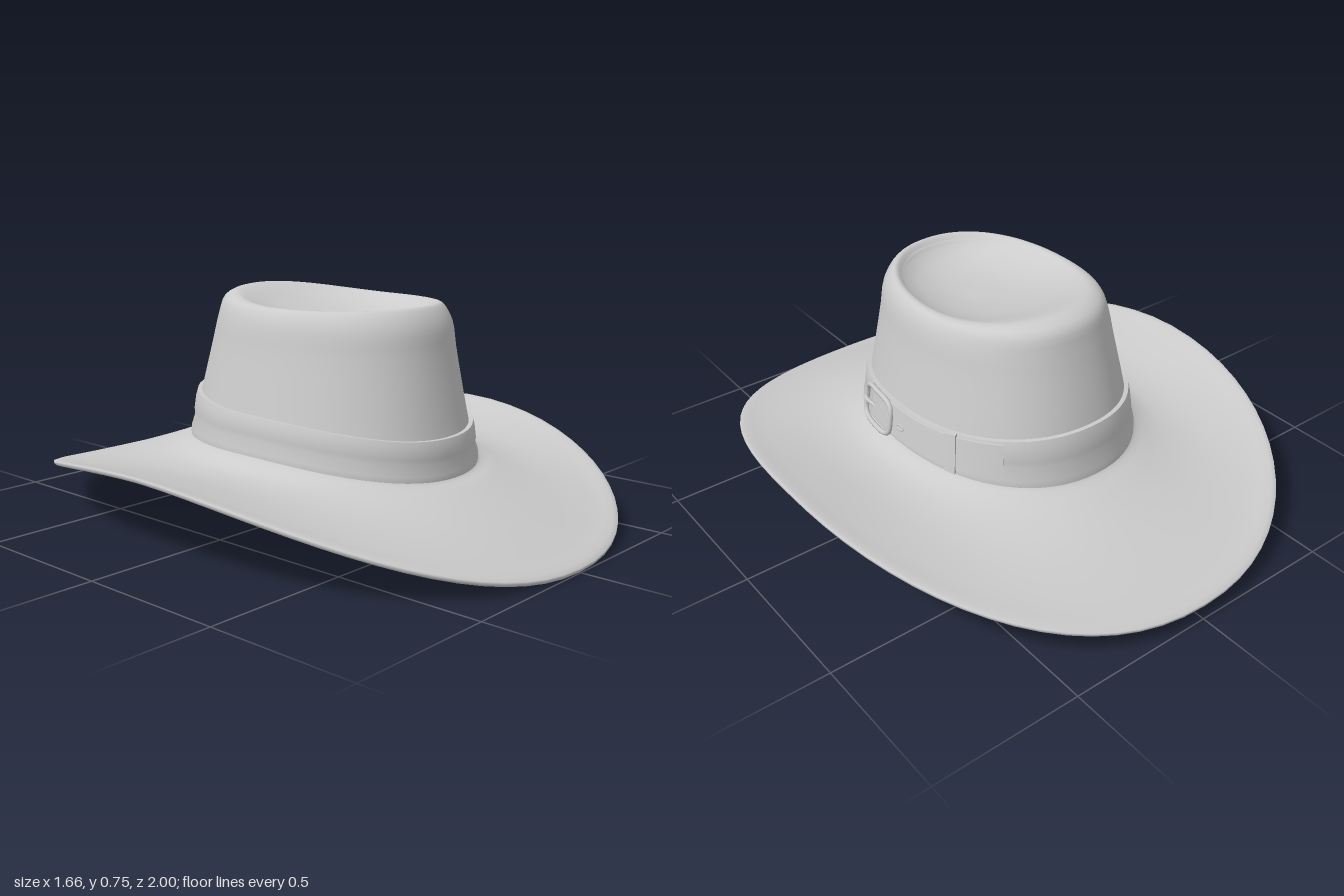
import * as THREE from 'three';
import { toCreasedNormals } from 'three/addons/utils/BufferGeometryUtils.js';

const TAU = Math.PI * 2;
const lerpRow = (a, b, s) => a.map((v, i) => v + (b[i] - v) * s);
const spow = (v, p) => Math.sign(v) * Math.pow(Math.abs(v), p);

// An oval section: [half width, front z, back z, front y, side y, back y].
// Angle t runs from the front (+z) towards +x.
function ovalPoint([hx, zf, zb, yf, ys, yb], t) {
  const s = Math.sin(t), c = Math.cos(t), p = 2 / 2.15;
  const w = Math.pow(Math.abs(c), 1.7);
  return new THREE.Vector3(
    hx * spow(s, p),
    ys + ((c > 0 ? yf : yb) - ys) * w,
    (zf + zb) / 2 + (zf - zb) / 2 * spow(c, p)
  );
}

// Surface from columns of points; each column runs from top to bottom outside
function skin(columns, closed) {
  const n = columns.length, m = columns[0].length, index = [];
  for (let i = 0; i < (closed ? n : n - 1); i++) {
    for (let j = 0; j < m - 1; j++) {
      const a = i * m + j, b = ((i + 1) % n) * m + j;
      index.push(a, a + 1, b, b, a + 1, b + 1);
    }
  }
  const geo = new THREE.BufferGeometry().setFromPoints(columns.flat());
  geo.setIndex(index);
  geo.computeVertexNormals();
  return geo;
}

// Crown sections from the bottom of the shallow dent, over the rim and down to the brim
const CROWN = [
  [0, 0.14, 0.14, 0.655, 0.655, 0.655],
  [0.1, 0.25, 0, 0.657, 0.66, 0.667],
  [0.195, 0.33, -0.16, 0.674, 0.682, 0.702],
  [0.25, 0.375, -0.265, 0.702, 0.705, 0.74],
  [0.274, 0.4, -0.32, 0.727, 0.718, 0.751],
  [0.297, 0.417, -0.37, 0.722, 0.712, 0.727],
  [0.32, 0.45, -0.39, 0.668, 0.668, 0.665],
  [0.335, 0.464, -0.41, 0.58, 0.58, 0.59],
  [0.37, 0.505, -0.455, 0.36, 0.4, 0.42],
  [0.387, 0.525, -0.475, 0.27, 0.32, 0.32],
  [0.405, 0.538, -0.49, 0.205, 0.262, 0.25]
];
const BASE = CROWN[CROWN.length - 1];
const EDGE = [0.83, 1, -1, 0.014, 0.268, 0.062];

// Brim section at s from 0 (crown) to 1 (edge), dipping beside the crown
function brimRow(s) {
  const row = lerpRow(BASE, EDGE, s);
  const bump = Math.sin(Math.PI * Math.pow(s, 0.6));
  row[3] += 0.008 * bump;
  row[4] -= 0.048 * bump;
  row[5] -= 0.008 * bump;
  return row;
}

// Felt shell: crown and brim outside, then back along the underside and lining
function hatBody() {
  const brim = [0.12, 0.27, 0.45, 0.65, 0.85, 1].map(brimRow);
  const outer = [...CROWN, ...brim];
  const inner = outer.map(([hx, zf, zb, yf, ys, yb], i) => {
    const k = i - CROWN.length;
    // lining sits inside the crown and flares softly into the underside
    const d = k < -1 ? Math.min(0.014, hx * 0.3) : i === outer.length - 1 ? 0.004 : 0;
    const drop = k === -1 ? 0.03 : k === 0 ? 0.022 : 0.014;
    return [hx - d, zf - d, zb + d, yf - drop, ys - drop, yb - drop];
  }).reverse();
  const rows = [...outer, ...inner];
  const columns = [];
  for (let i = 0; i < 72; i++) {
    const t = i / 72 * TAU;
    const curve = new THREE.CatmullRomCurve3(rows.map(r => ovalPoint(r, t)));
    // even steps between rows, so every column meets the sections at the same place
    columns.push(Array.from({ length: (rows.length - 1) * 3 + 1 },
      (_, j) => curve.getPoint(j / ((rows.length - 1) * 3))));
  }
  return skin(columns, true);
}

// Point on the hat band: v from 0 (bottom) to 1 (top), pushed outwards by off
const BAND_LOW = [0.406, 0.545, -0.5, 0.203, 0.26, 0.248];
const BAND_TOP = [0.386, 0.526, -0.472, 0.328, 0.385, 0.416];
function bandPoint(t, v, off) {
  const r = lerpRow(BAND_LOW, BAND_TOP, v);
  r[0] += off; r[1] += off; r[2] -= off;
  return ovalPoint(r, t);
}

// Hat band with a shallow groove along its lower half
function band() {
  const section = [[1, -0.014], [1, 0], [0.85, 0.003], [0.55, 0.002], [0.42, -0.003], [0.15, 0.003], [0, 0], [0, -0.012]];
  const columns = [];
  for (let i = 0; i < 72; i++) columns.push(section.map(([v, o]) => bandPoint(i / 72 * TAU, v, o)));
  return toCreasedNormals(skin(columns, true), 0.8);
}

// Raised leather strip lying on the band between two angles
function strip(t0, t1, v0, v1, off) {
  const n = 20, columns = [];
  for (let i = -1; i <= n + 1; i++) {
    const t = t0 + (t1 - t0) * Math.min(Math.max(i / n, 0), 1);
    const o = i < 0 || i > n ? -0.005 : off;
    columns.push([[v1, -0.005], [v1, o], [v0, o], [v0, -0.005]].map(([v, d]) => bandPoint(t, v, d)));
  }
  return toCreasedNormals(skin(columns, false), 0.8);
}

// Rounded ring lying on the band
function ring(t, v, rt, rv, off, radius, power) {
  const pts = [];
  for (let i = 0; i < 24; i++) {
    const a = i / 24 * TAU;
    pts.push(bandPoint(t + rt * spow(Math.cos(a), power), v + rv * spow(Math.sin(a), power), off));
  }
  return new THREE.TubeGeometry(new THREE.CatmullRomCurve3(pts, true), 48, radius, 8, true);
}

export function createModel() {
  const group = new THREE.Group();
  group.name = 'hat';
  const material = new THREE.MeshStandardMaterial({ color: 0xcccccc, side: THREE.DoubleSide });
  const add = (name, geometry) => {
    const mesh = new THREE.Mesh(geometry, material);
    mesh.name = name;
    group.add(mesh);
  };

  add('crownAndBrim', hatBody());
  add('hatBand', band());

  // Strap end and keeper on the left side
  add('strapEnd', strip(1.25, 2.42, 0.14, 0.95, 0.007));
  add('strapKeeper', strip(1.99, 2.07, 0.06, 1.02, 0.013));

  // Buckle with its short prong
  add('buckleFrame', ring(1.34, 0.48, 0.18, 0.5, 0.012, 0.009, 0.5));
  const prong = new THREE.CatmullRomCurve3([1.16, 1.22, 1.3].map((t, i) =>
    bandPoint(t, 0.48, [0.018, 0.017, 0.01][i])));
  add('buckleProng', new THREE.TubeGeometry(prong, 12, 0.007, 8, false));

  // Strap holes
  for (const [t, off] of [[1.04, 0.003], [1.6, 0.008]]) add('strapHole', ring(t, 0.48, 0.025, 0.06, off, 0.003, 1));
  return group;
}
